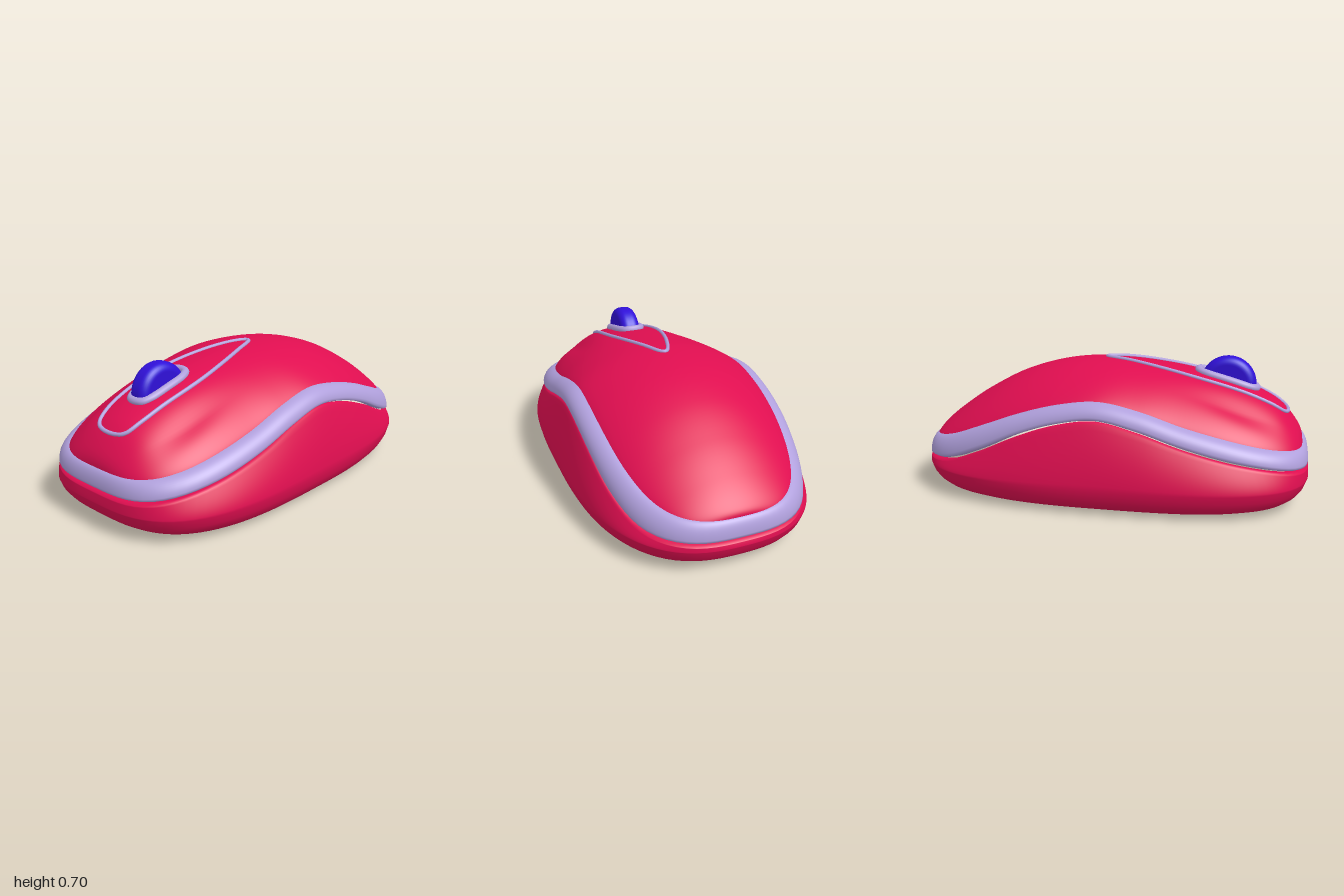
import * as THREE from 'three';

const mat = (color) => new THREE.MeshStandardMaterial({ color });
const red = mat(0xe00e50), lavender = mat(0xb0a0dc), blue = mat(0x3010d8);
const lerp = THREE.MathUtils.lerp;

// Smooth curve through evenly spaced values, s in 0..1
function spline(v, s) {
  const f = THREE.MathUtils.clamp(s, 0, 1) * (v.length - 1);
  const i = Math.min(Math.floor(f), v.length - 2), t = f - i;
  const a = v[i], b = v[i + 1];
  const p = i > 0 ? v[i - 1] : 2 * a - b;
  const q = i + 2 < v.length ? v[i + 2] : 2 * b - a;
  const m0 = (b - p) / 2, m1 = (q - a) / 2;
  return a + m0 * t + (3 * (b - a) - 2 * m0 - m1) * t * t + (2 * (a - b) + m0 + m1) * t * t * t;
}

// Heights of the trim band edges from back (z = -1) to front (z = 1)
const LOW = [0.17, 0.195, 0.27, 0.36, 0.425, 0.452, 0.41, 0.345, 0.29, 0.245, 0.2];
const HIGH = [0.255, 0.3, 0.375, 0.45, 0.505, 0.528, 0.49, 0.425, 0.37, 0.32, 0.28];
const low = (z) => spline(LOW, (z + 1) / 2);
const high = (z) => spline(HIGH, (z + 1) / 2);

// Rounded plan outline, squarer at the front than at the back
function outline(a, W, L, nFront, nBack) {
  const s = Math.sin(a), c = Math.cos(a), n = c > 0 ? nFront : nBack;
  const r = (Math.abs(s / W) ** n + Math.abs(c / L) ** n) ** (-1 / n);
  return [r * s, r * c];
}
const baseLine = (a) => outline(a, 0.585, 1, 3.2, 2.65);
const bandOuter = (a) => outline(a, 0.52, 0.995, 3.6, 3);
const bandInner = (a) => outline(a, 0.442, 0.96, 3.6, 3);
const mix = (p, q, k) => [lerp(p[0], q[0], k), lerp(p[1], q[1], k)];

// Surface from a grid of points; closed wraps the columns
function grid(rows, cols, closed, point) {
  const pos = [], idx = [], n = closed ? cols : cols + 1;
  for (let i = 0; i <= rows; i++) for (let j = 0; j < n; j++) pos.push(...point(i, j));
  for (let i = 0; i < rows; i++) for (let j = 0; j < cols; j++) {
    const a = i * n + j, b = i * n + (j + 1) % n;
    idx.push(a, b, b + n, a, b + n, a + n);
  }
  const g = new THREE.BufferGeometry();
  g.setAttribute('position', new THREE.Float32BufferAttribute(pos, 3));
  g.setIndex(idx);
  g.computeVertexNormals();
  return g;
}

// Upper shell: spine heights from front to back, evenly spaced in angle
const SPINE = [0.285, 0.375, 0.48, 0.555, 0.612, 0.652, 0.675, 0.66, 0.597, 0.497, 0.395, 0.315, 0.262];
const DW = 0.446, DL = 0.963;
function domeWidth(z) {
  const n = z > 0 ? 3.6 : 3;
  return DW * Math.max(0, 1 - Math.abs(z / DL) ** n) ** (1 / n);
}
function domeY(x, z) {
  const top = spline(SPINE, Math.acos(THREE.MathUtils.clamp(z / DL, -1, 1)) / Math.PI);
  const w = domeWidth(z), u = w > 0 ? Math.min(1, Math.abs(x) / w) : 0;
  const edge = high(z) - 0.004, rise = (1 - u * u) ** 0.85;
  // shallow finger hollows either side of the wheel
  const hollow = 0.02 * Math.exp(-(((Math.abs(x) - 0.28) / 0.07) ** 2) - (((z - 0.66) / 0.2) ** 2));
  return edge + Math.max(0, top - edge) * rise - hollow * Math.min(1, 3 * (1 - u));
}

// Tube lying on the upper shell along a closed plan path
function surfaceTube(plan, radius, lift) {
  const path = new THREE.CatmullRomCurve3(plan.map(([x, z]) => new THREE.Vector3(x, 0, z)), true);
  const pts = path.getSpacedPoints(80).slice(0, -1);
  pts.forEach((p) => { p.y = domeY(p.x, p.z) + lift; });
  return new THREE.TubeGeometry(new THREE.CatmullRomCurve3(pts, true), 200, radius, 10, true);
}

export function createModel() {
  const model = new THREE.Group();
  const add = (name, geometry, material) => {
    const mesh = new THREE.Mesh(geometry, material);
    mesh.name = name;
    model.add(mesh);
    return mesh;
  };
  const COLS = 144, angle = (j) => (j / COLS) * Math.PI * 2;

  // Lower body: flat underside, rounded bottom edge, walls leaning in to the trim
  const under = [[0, 0], [0.5, 0.001], [0.78, 0.007], [0.87, 0.017], [0.925, 0.034],
    [0.96, 0.058], [0.985, 0.09], [1, 0.13]];
  const WALL = 12, lip = [[0.988, 0.009], [0.96, 0.006]];
  add('lowerBody', grid(under.length + WALL + lip.length - 1, COLS, true, (i, j) => {
    const a = angle(j), o = baseLine(a);
    if (i < under.length) return [o[0] * under[i][0], under[i][1], o[1] * under[i][0]];
    const k = i - under.length + 1;
    if (k <= WALL) {
      const s = k / WALL, p = mix(o, bandOuter(a), s ** 1.6);
      return [p[0], lerp(0.13, low(p[1]) - 0.018, s), p[1]];
    }
    const [f, drop] = lip[k - WALL - 1], p = bandOuter(a);
    return [p[0] * f, low(p[1]) - drop, p[1] * f];
  }), red);

  // Trim band: tucked lower lip, then a quarter round up to the shell
  const ROUND = 12;
  add('trimBand', grid(ROUND + 2, COLS, true, (i, j) => {
    const a = angle(j), o = bandOuter(a);
    if (i < 2) {
      const f = i ? 0.988 : 0.95;
      return [o[0] * f, low(o[1]) + (i ? 0 : 0.003), o[1] * f];
    }
    const q = ((i - 2) / ROUND) * Math.PI / 2;
    const p = mix(o, bandInner(a), 1 - Math.cos(q));
    return [p[0], lerp(low(p[1]) + 0.006, high(p[1]), Math.sin(q)), p[1]];
  }), lavender);

  // Upper shell, front to back
  const ROWS = 120, ACROSS = 64;
  add('upperShell', grid(ROWS, ACROSS, false, (i, j) => {
    const z = DL * Math.cos((i / ROWS) * Math.PI);
    const x = domeWidth(z) * Math.sin((j / ACROSS - 0.5) * Math.PI);
    return [x, domeY(x, z), z];
  }), red);

  // Teardrop inlay line around the wheel
  const half = [[0.022, -0.03], [0.07, 0.1], [0.11, 0.25], [0.136, 0.4], [0.143, 0.52],
    [0.137, 0.66], [0.122, 0.79], [0.095, 0.86], [0.045, 0.882]];
  const mirrored = half.map(([x, z]) => [-x, z]).reverse();
  add('inlayLine', surfaceTube([[0, -0.05], ...half, ...mirrored], 0.01, 0.002), lavender);

  // Raised oval surround of the wheel
  const oval = [];
  for (let k = 0; k < 24; k++) {
    const [x, z] = outline((k / 24) * Math.PI * 2, 0.066, 0.147, 3, 3);
    oval.push([x, z + 0.577]);
  }
  add('wheelSurround', surfaceTube(oval, 0.02, 0.004), lavender);

  // Scroll wheel with rounded rims
  const R = 0.142, H = 0.054, r = 0.04, profile = [new THREE.Vector2(0, -H)];
  for (const side of [-1, 1]) for (let k = 0; k <= 8; k++) {
    const q = (side < 0 ? k / 8 - 1 : k / 8) * Math.PI / 2;
    profile.push(new THREE.Vector2(R - r + r * Math.cos(q), side * (H - r) + r * Math.sin(q)));
  }
  profile.push(new THREE.Vector2(0, H));
  const wheel = add('scrollWheel', new THREE.LatheGeometry(profile, 48), blue);
  wheel.rotation.z = Math.PI / 2;
  wheel.position.set(0, 0.557, 0.58);

  return model;
}
